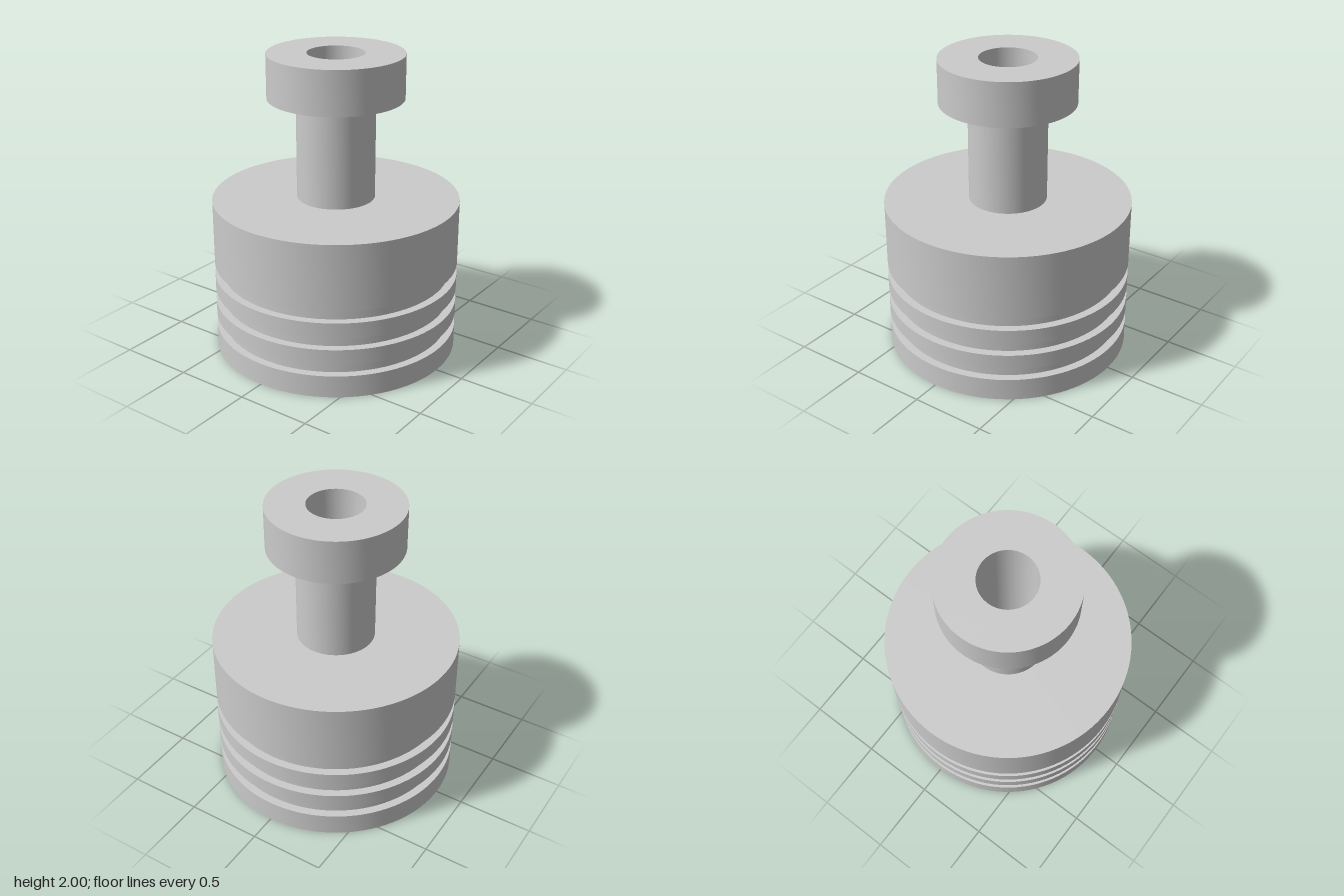
import * as THREE from 'three';
import { toCreasedNormals } from 'three/addons/utils/BufferGeometryUtils.js';

const SEGMENTS = 96;
const BODY_R = 0.813, GROOVE_R = 0.76, ROD_R = 0.257, COLLAR_R = 0.443, BORE_R = 0.186;
const BODY_TOP = 1.04, COLLAR_BOTTOM = 1.71, TOP = 2;

export function createModel() {
  const model = new THREE.Group();
  const material = new THREE.MeshStandardMaterial({ color: 0xcccccc });

  // Revolve a [radius, height] profile, keeping its corners sharp
  function turn(name, profile) {
    const points = profile.map(([r, y]) => new THREE.Vector2(r, y));
    const geometry = toCreasedNormals(new THREE.LatheGeometry(points, SEGMENTS), 0.5);
    const mesh = new THREE.Mesh(geometry, material);
    mesh.name = name;
    model.add(mesh);
  }

  // Piston body with three ring grooves
  const body = [[0, 0], [BODY_R, 0]];
  for (const [low, high] of [[0.15, 0.23], [0.335, 0.413], [0.52, 0.598]]) {
    body.push([BODY_R, low], [GROOVE_R, low], [GROOVE_R, high], [BODY_R, high]);
  }
  body.push([BODY_R, BODY_TOP], [0, BODY_TOP]);
  turn('pistonBody', body);

  // Rod standing on the body
  turn('rod', [[ROD_R, BODY_TOP], [ROD_R, COLLAR_BOTTOM]]);

  // Collar at the top of the rod
  turn('collar', [
    [ROD_R, COLLAR_BOTTOM], [COLLAR_R, COLLAR_BOTTOM], [COLLAR_R, TOP], [BORE_R, TOP],
  ]);

  // Bore running down through collar and rod, facing inward
  turn('bore', [[BORE_R, TOP], [BORE_R, BODY_TOP]]);

  return model;
}
